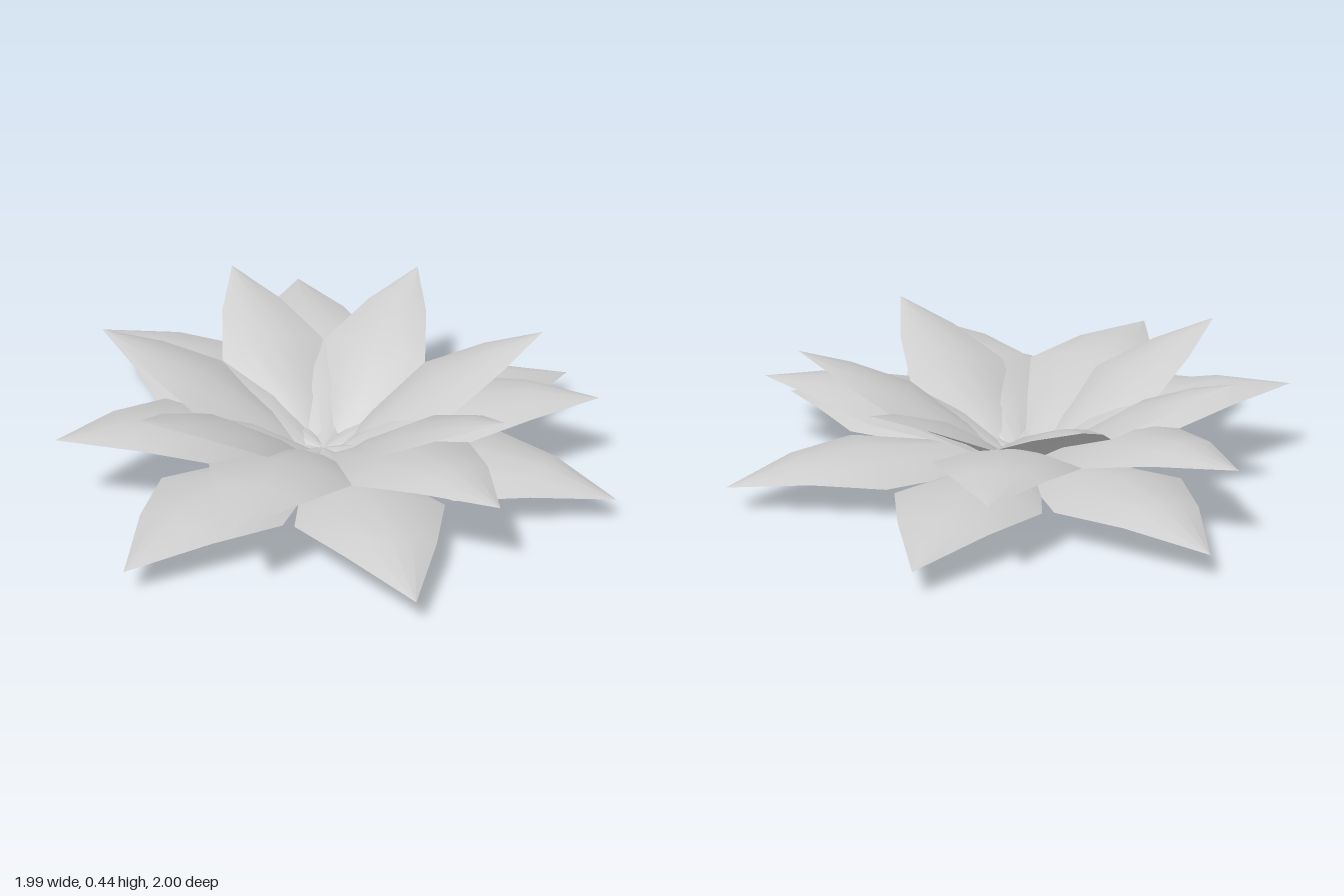
import * as THREE from 'three';

const petalMat = new THREE.MeshStandardMaterial({ color: 0xcccccc, side: THREE.DoubleSide });
petalMat.name = 'pale grey';

// Each tier: rows along the petal midline as [reach, height, halfWidth, edgeDroop]
const tiers = [
  { name: 'innerPetal', rows: [[0, 0, 0.006, 0], [0.19, 0.17, 0.115, 0.035],
    [0.395, 0.31, 0.197, 0.05], [0.585, 0.39, 0.113, 0.03], [0.755, 0.44, 0, 0]] },
  { name: 'middlePetal', rows: [[0, 0.04, 0.006, 0], [0.23, 0.185, 0.142, 0.04],
    [0.48, 0.285, 0.24, 0.055], [0.69, 0.303, 0.145, 0.035], [0.924, 0.278, 0, 0]] },
  { name: 'outerPetal', rows: [[0, 0.07, 0.006, 0], [0.27, 0.145, 0.15, 0.055],
    [0.55, 0.183, 0.25, 0.065], [0.775, 0.163, 0.147, 0.04], [1.024, 0.09, 0, 0]] },
];

// Arched blade pointing along +x, its edges drooping below the midline
function petalGeometry(rows) {
  const cols = 5, pos = [], index = [];
  for (const [reach, height, half, droop] of rows) {
    for (let c = 0; c < cols; c++) {
      const s = c / (cols - 1) * 2 - 1;
      pos.push(reach, height - droop * s * s, s * half);
    }
  }
  for (let r = 0; r < rows.length - 1; r++) {
    for (let c = 0; c < cols - 1; c++) {
      const a = r * cols + c, d = a + cols;
      index.push(a, a + 1, d);
      // the last row closes to a point
      if (r < rows.length - 2) index.push(a + 1, d + 1, d);
    }
  }
  const geo = new THREE.BufferGeometry();
  geo.setAttribute('position', new THREE.Float32BufferAttribute(pos, 3));
  geo.setIndex(index);
  geo.computeVertexNormals();
  return geo;
}

export function createModel() {
  const model = new THREE.Group();
  model.name = 'flower';
  const geos = tiers.map((t) => petalGeometry(t.rows));

  // Eighteen petals spiral round by the golden angle, cycling through the tiers
  for (let i = 0; i < 18; i++) {
    const petal = new THREE.Mesh(geos[i % 3], petalMat);
    petal.name = tiers[i % 3].name + (Math.floor(i / 3) + 1);
    petal.rotation.y = THREE.MathUtils.degToRad(137.5 * i);
    petal.position.set(0.027, 0, -0.02);
    model.add(petal);
  }
  return model;
}
